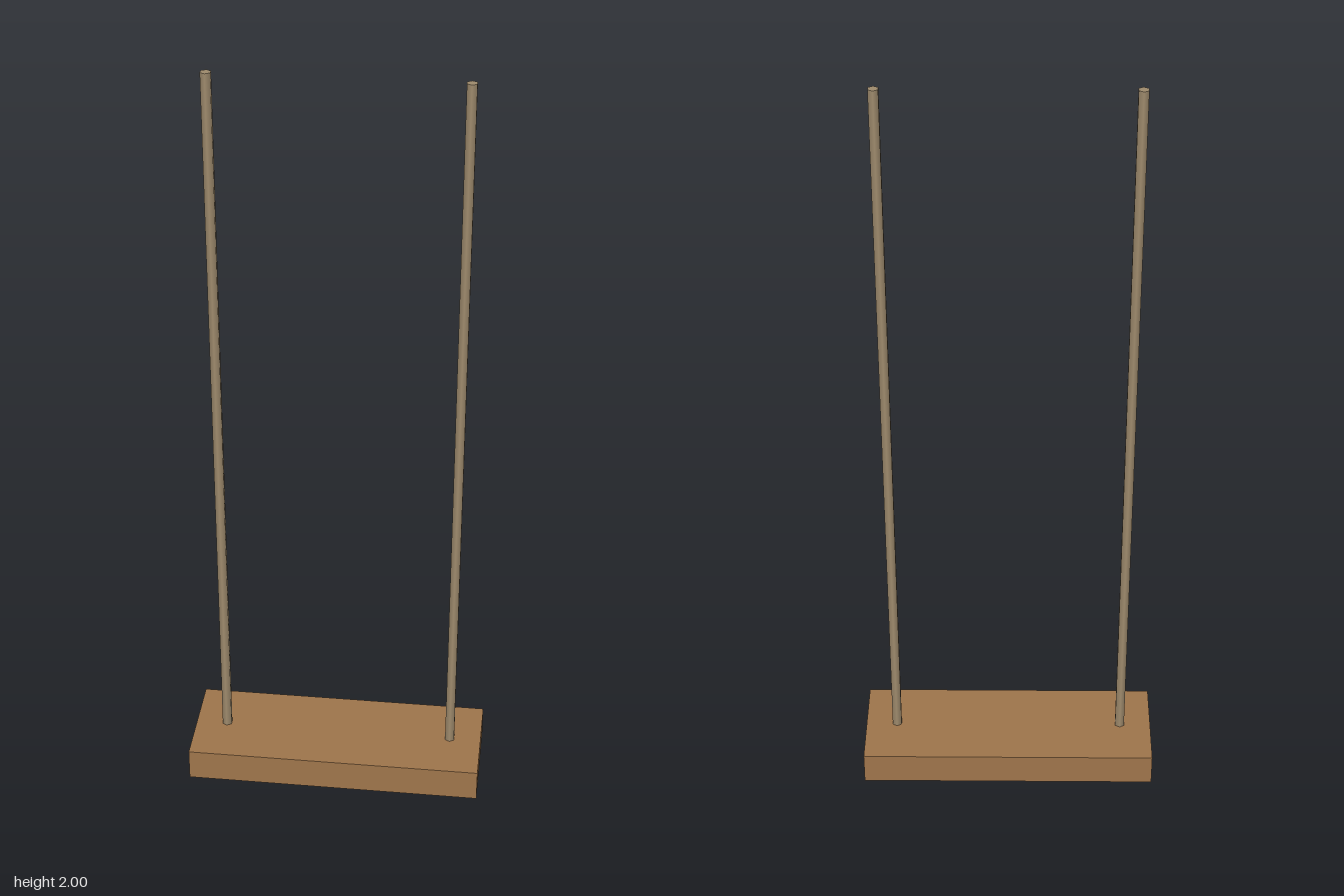
import * as THREE from 'three';

export function createModel() {
  const swing = new THREE.Group();
  swing.name = 'swing';

  const wood = new THREE.MeshStandardMaterial({ color: 0xa0764c });
  const hemp = new THREE.MeshStandardMaterial({ color: 0xa08c6e });

  // Plank seat
  const seatHeight = 0.088;
  const seat = new THREE.Mesh(new THREE.BoxGeometry(0.79, seatHeight, 0.282), wood);
  seat.name = 'seat';
  seat.position.y = seatHeight / 2;
  swing.add(seat);

  // Six-sided ropes rising from the seat
  const ropeLength = 2 - seatHeight;
  const ropeGeometry = new THREE.CylinderGeometry(0.0141, 0.0141, ropeLength, 6);
  for (const [name, side] of [['leftRope', 1], ['rightRope', -1]]) {
    const rope = new THREE.Mesh(ropeGeometry, hemp);
    rope.name = name;
    rope.position.set(side * 0.31, seatHeight + ropeLength / 2, 0);
    swing.add(rope);
  }

  return swing;
}
